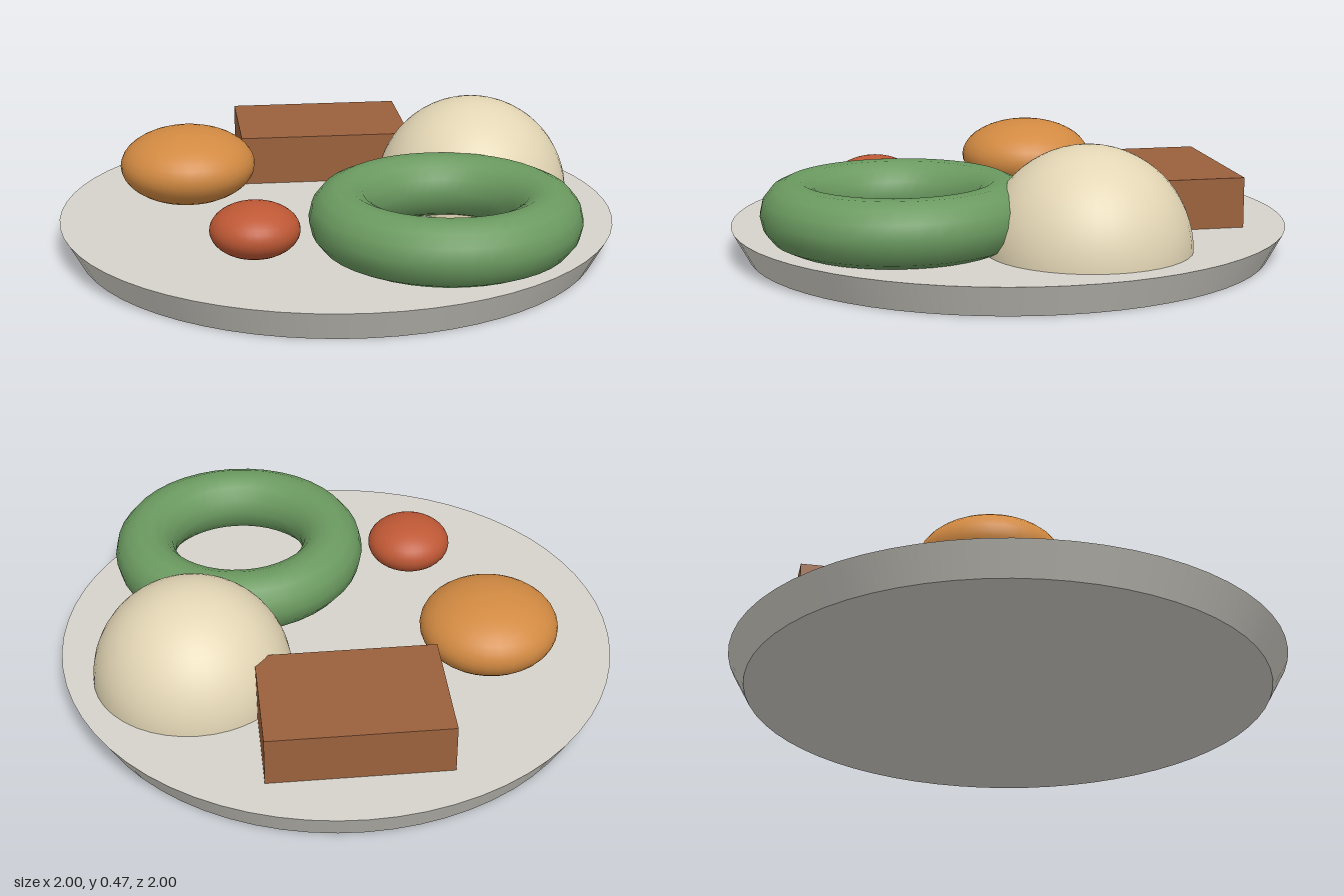
import * as THREE from 'three';

const PLATE_TOP = 0.11;

export function createModel() {
  const model = new THREE.Group();
  model.name = 'plateOfFood';

  function add(name, geometry, color, x, y, z) {
    const mesh = new THREE.Mesh(geometry, new THREE.MeshStandardMaterial({ color }));
    mesh.name = name;
    mesh.position.set(x, y, z);
    model.add(mesh);
    return mesh;
  }

  // Flattened ball resting on the plate
  function addBall(name, color, radius, halfHeight, x, z) {
    const ball = add(name, new THREE.SphereGeometry(radius, 32, 20), color, x, PLATE_TOP + halfHeight, z);
    ball.scale.y = halfHeight / radius;
  }

  // Solid plate, narrower at the foot
  add('plate', new THREE.CylinderGeometry(1, 0.94, PLATE_TOP, 64), 0xd6d3cb, 0, PLATE_TOP / 2, 0);

  // Half-sphere mound with a closing disc
  const dome = new THREE.SphereGeometry(0.355, 40, 16, 0, Math.PI * 2, 0, Math.PI / 2);
  add('domeMound', dome, 0xe3d6b5, 0.53, PLATE_TOP, -0.17);
  const base = new THREE.CircleGeometry(0.355, 40).rotateX(Math.PI / 2);
  add('domeBase', base, 0xe3d6b5, 0.53, PLATE_TOP, -0.17);

  // Rectangular block at the back
  add('block', new THREE.BoxGeometry(0.64, 0.18, 0.46), 0x9a613c, 0, PLATE_TOP + 0.09, -0.56);

  // Ring lying flat, running into the dome
  const ring = new THREE.TorusGeometry(0.355, 0.114, 14, 40).rotateX(-Math.PI / 2);
  add('ring', ring, 0x6b9a60, 0.325, PLATE_TOP + 0.114, 0.447);

  // Two squashed balls
  addBall('largeBall', 0xd28a42, 0.247, 0.137, -0.53, -0.175);
  addBall('smallBall', 0xbe5835, 0.155, 0.094, -0.328, 0.447);

  return model;
}
